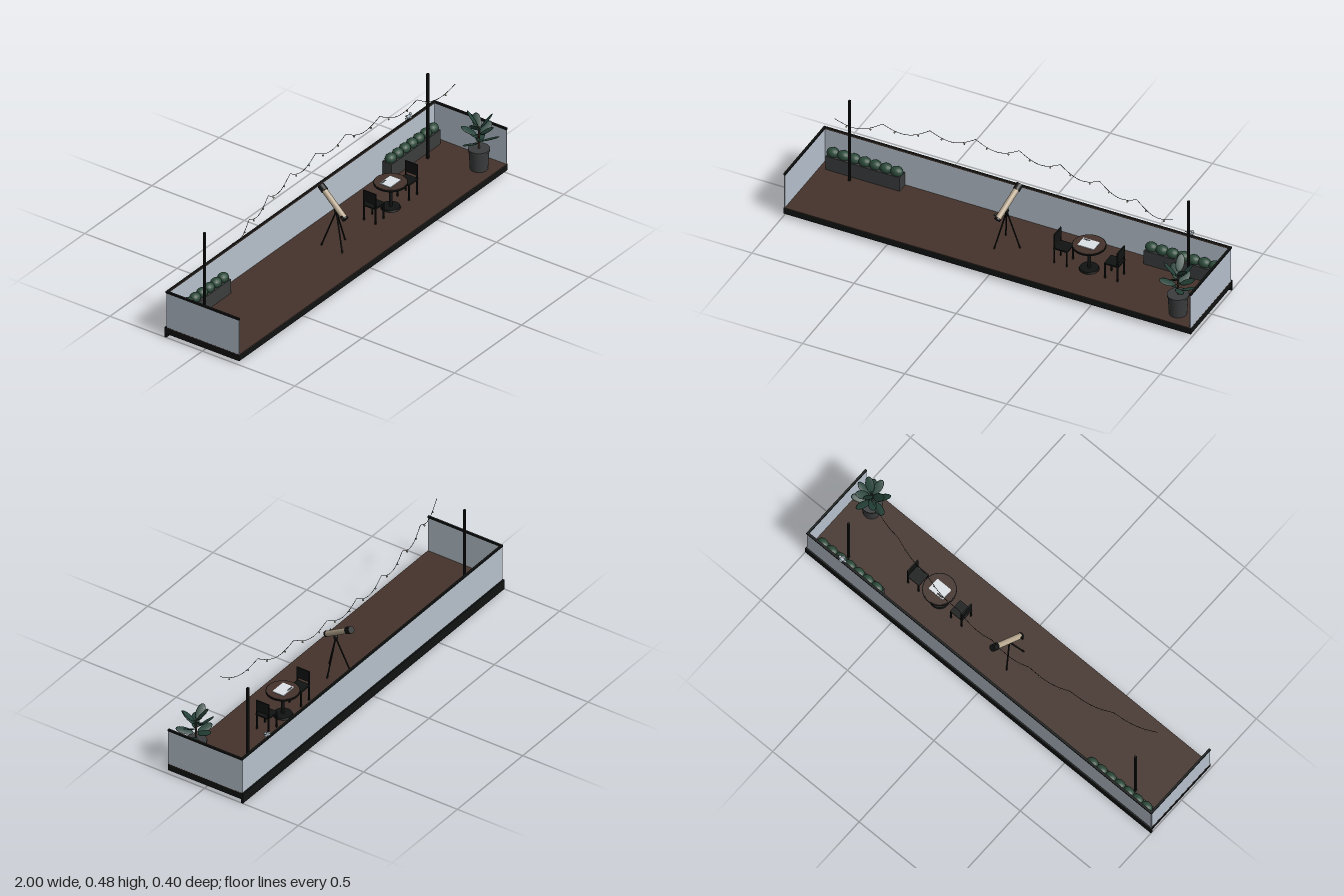
import * as THREE from 'three';

const mat = (name, color) => {
  const m = new THREE.MeshStandardMaterial({ color });
  m.name = name;
  return m;
};

export function createModel() {
  const black = mat('black metal', 0x111212);
  const wood = mat('dark wood', 0x44332b);
  const glass = mat('pale glass', 0xb6c1cc);
  const planterGrey = mat('planter grey', 0x3b3c3d);
  const hedgeGreen = mat('hedge green', 0x2c4a3a);
  const leafGreen = mat('leaf green', 0x26433a);
  const beige = mat('telescope beige', 0xb8a890);
  const paper = mat('paper white', 0xdde3e8);
  const birdGrey = mat('bird grey', 0xa3b0b8);
  const bulbWarm = mat('bulb glow', 0xa89f88);

  const root = new THREE.Group();
  root.name = 'balcony';
  const group = (name, parent = root) => {
    const g = new THREE.Group();
    g.name = name;
    parent.add(g);
    return g;
  };
  const add = (parent, name, geo, material, x = 0, y = 0, z = 0) => {
    const m = new THREE.Mesh(geo, material);
    m.name = name;
    m.position.set(x, y, z);
    parent.add(m);
    return m;
  };
  // Box given by its minimum and maximum corners
  const box = (parent, name, material, a, b) => add(parent, name,
    new THREE.BoxGeometry(b[0] - a[0], b[1] - a[1], b[2] - a[2]), material,
    (a[0] + b[0]) / 2, (a[1] + b[1]) / 2, (a[2] + b[2]) / 2);
  const cyl = (parent, name, material, x, y0, y1, z, r0, r1 = r0, n = 24) =>
    add(parent, name, new THREE.CylinderGeometry(r1, r0, y1 - y0, n), material, x, (y0 + y1) / 2, z);
  // Cylinder between two points
  const rod = (parent, name, material, a, b, r0, r1 = r0, n = 10) => {
    const A = new THREE.Vector3(...a), B = new THREE.Vector3(...b);
    const dir = B.clone().sub(A);
    const m = add(parent, name, new THREE.CylinderGeometry(r1, r0, dir.length(), n), material);
    m.position.copy(A).add(B).multiplyScalar(0.5);
    m.quaternion.setFromUnitVectors(new THREE.Vector3(0, 1, 0), dir.normalize());
    return m;
  };
  const ball = (parent, name, material, p, s, n = 14) => {
    const m = add(parent, name, new THREE.SphereGeometry(1, n, Math.ceil(n * 0.7)), material, ...p);
    m.scale.set(...s);
    return m;
  };

  // Floor
  const floor = group('floor');
  box(floor, 'slab', black, [-0.997, 0.017, -0.197], [0.997, 0.047, 0.197]);
  box(floor, 'backFascia', black, [-1, 0, -0.205], [1, 0.05, -0.195]);
  box(floor, 'deck', wood, [-0.997, 0.047, -0.195], [0.997, 0.05, 0.197]);

  // Glass balustrade and handrail
  const rail = group('balustrade');
  box(rail, 'backGlass', glass, [-0.995, 0.05, -0.198], [0.995, 0.226, -0.193]);
  box(rail, 'backRail', black, [-0.999, 0.225, -0.2], [0.999, 0.234, -0.19]);
  box(rail, 'backRailInlay', wood, [-0.989, 0.227, -0.19], [0.989, 0.233, -0.189]);
  for (const s of [-1, 1]) {
    const side = group(s > 0 ? 'leftSide' : 'rightSide', rail);
    box(side, 'sideGlass', glass, [s * 0.994 - 0.0025, 0.05, -0.195], [s * 0.994 + 0.0025, 0.226, 0.196]);
    box(side, 'sideRail', black, [s * 0.994 - 0.005, 0.225, -0.195], [s * 0.994 + 0.005, 0.234, 0.197]);
  }

  // Posts and string lights
  const lights = group('stringLights');
  for (const s of [-1, 1]) box(lights, 'post', black, [s * 0.83 - 0.005, 0.05, -0.117], [s * 0.83 + 0.005, 0.483, -0.107]);
  const spans = 8;
  const cordPoint = (t) => new THREE.Vector3(-0.83 + 1.66 * t,
    0.483 - 0.041 * Math.abs(Math.sin(Math.PI * spans * t)), 0.037 - 0.15 * Math.sin(Math.PI * t));
  for (let i = 0; i < spans; i++) {
    const pts = [];
    for (let k = 0; k <= 8; k++) pts.push(cordPoint((i + k / 8) / spans));
    add(lights, 'cord', new THREE.TubeGeometry(new THREE.CatmullRomCurve3(pts), 20, 0.0012, 5), black);
    for (const f of [0.25, 0.75]) {
      const p = cordPoint((i + f) / spans);
      ball(lights, 'bulb', bulbWarm, [p.x, p.y - 0.008, p.z], [0.0042, 0.0045, 0.0042], 10);
    }
  }

  // Hedge planters
  for (const s of [-1, 1]) {
    const planter = group(s > 0 ? 'leftPlanter' : 'rightPlanter');
    box(planter, 'trough', planterGrey, [s * 0.78 - 0.182, 0.05, -0.188], [s * 0.78 + 0.182, 0.122, -0.138]);
    for (let i = 0; i < 7; i++)
      ball(planter, 'bush', hedgeGreen, [s * 0.78 + (i - 3) * 0.052, 0.134, -0.162], [0.03, 0.024, 0.025]);
  }

  // Telescope on a tripod
  const scope = group('telescope');
  const low = new THREE.Vector3(-0.02, 0.215, 0.062), high = new THREE.Vector3(0.013, 0.318, -0.095);
  const along = (t) => low.clone().lerp(high, t).toArray();
  rod(scope, 'tube', beige, along(0.04), along(0.86), 0.0135, 0.0135, 24);
  rod(scope, 'hood', black, along(0.84), along(1), 0.0165, 0.0165, 24);
  rod(scope, 'endCap', black, along(0), along(0.05), 0.0145, 0.0145, 24);
  ball(scope, 'mount', black, [-0.004, 0.232, 0], [0.01, 0.015, 0.01]);
  for (let i = 0; i < 3; i++) {
    const a = i * Math.PI * 2 / 3;
    rod(scope, 'tripodLeg', black, [-0.004, 0.228, 0], [-0.004 + 0.066 * Math.cos(a), 0.05, 0.066 * Math.sin(a)], 0.0035);
  }
  rod(scope, 'eyepiece', black, along(0.08), [-0.04, 0.232, 0.05], 0.005);

  // Round table with an open newspaper
  const table = group('table');
  cyl(table, 'base', black, 0.4, 0.05, 0.058, 0, 0.045, 0.042, 32);
  cyl(table, 'pole', black, 0.4, 0.055, 0.175, 0, 0.0075);
  cyl(table, 'rim', black, 0.4, 0.172, 0.179, 0, 0.076, 0.076, 40);
  cyl(table, 'top', wood, 0.4, 0.179, 0.1805, 0, 0.072, 0.072, 40);
  box(table, 'newspaper', paper, [0.357, 0.1805, -0.03], [0.438, 0.184, 0.03]);
  box(table, 'paperPicture', planterGrey, [0.362, 0.184, -0.026], [0.394, 0.1845, -0.018]);

  // Two chairs facing the table
  for (const s of [-1, 1]) {
    const chair = group(s > 0 ? 'leftChair' : 'rightChair');
    chair.position.x = 0.4;
    chair.rotation.y = s > 0 ? 0 : Math.PI;
    box(chair, 'seat', black, [0.09, 0.125, -0.034], [0.16, 0.132, 0.034]);
    box(chair, 'backPanel', black, [0.152, 0.148, -0.034], [0.158, 0.203, 0.034]);
    for (const z of [-0.031, 0.031]) {
      box(chair, 'frontLeg', black, [0.091, 0.05, z - 0.003], [0.097, 0.128, z + 0.003]);
      box(chair, 'backLeg', black, [0.152, 0.05, z - 0.003], [0.158, 0.2, z + 0.003]);
    }
  }

  // Potted plant with flat oval leaves around a stem
  const plant = group('pottedPlant');
  plant.position.set(0.895, 0, 0.118);
  cyl(plant, 'pot', planterGrey, 0, 0.05, 0.148, 0, 0.04, 0.046, 28);
  cyl(plant, 'potRim', planterGrey, 0, 0.142, 0.152, 0, 0.049, 0.049, 28);
  rod(plant, 'stem', wood, [0, 0.148, 0], [0, 0.262, 0], 0.005, 0.003);
  const leaves = 12;
  for (let i = 0; i < leaves; i++) {
    const t = i / (leaves - 1);
    const leaf = group('leaf', plant);
    leaf.position.y = 0.17 + 0.085 * t;
    leaf.rotation.order = 'YZX';
    leaf.rotation.y = i * 2.4 + 0.5;
    leaf.rotation.z = 0.15 + 0.75 * t;
    leaf.rotation.x = (i % 2 ? 1 : -1) * 0.3;
    const blade = new THREE.SphereGeometry(1, 14, 8);
    blade.scale(0.041, 0.003, 0.02);
    blade.translate(0.053, 0, 0);
    add(leaf, 'blade', blade, leafGreen);
    rod(leaf, 'stalk', leafGreen, [0, 0, 0], [0.02, 0, 0], 0.002);
  }

  // Small bird perched on the back rail
  const bird = group('bird');
  bird.position.set(0.8, 0.234, -0.192);
  ball(bird, 'body', birdGrey, [0, 0.014, 0], [0.014, 0.0095, 0.0095]);
  ball(bird, 'head', birdGrey, [0.01, 0.025, 0], [0.0065, 0.0065, 0.0065]);
  ball(bird, 'tail', birdGrey, [-0.018, 0.015, 0], [0.01, 0.002, 0.005]);
  rod(bird, 'beak', black, [0.0155, 0.025, 0], [0.021, 0.024, 0], 0.002, 0.0004);
  for (const s of [-1, 1]) {
    ball(bird, 'wing', birdGrey, [-0.002, 0.016, s * 0.01], [0.009, 0.003, 0.006]);
    rod(bird, 'leg', black, [0, 0, s * 0.004], [0, 0.008, s * 0.004], 0.001);
    ball(bird, 'eye', black, [0.014, 0.027, s * 0.0045], [0.0012, 0.0012, 0.0012], 8);
  }

  return root;
}
